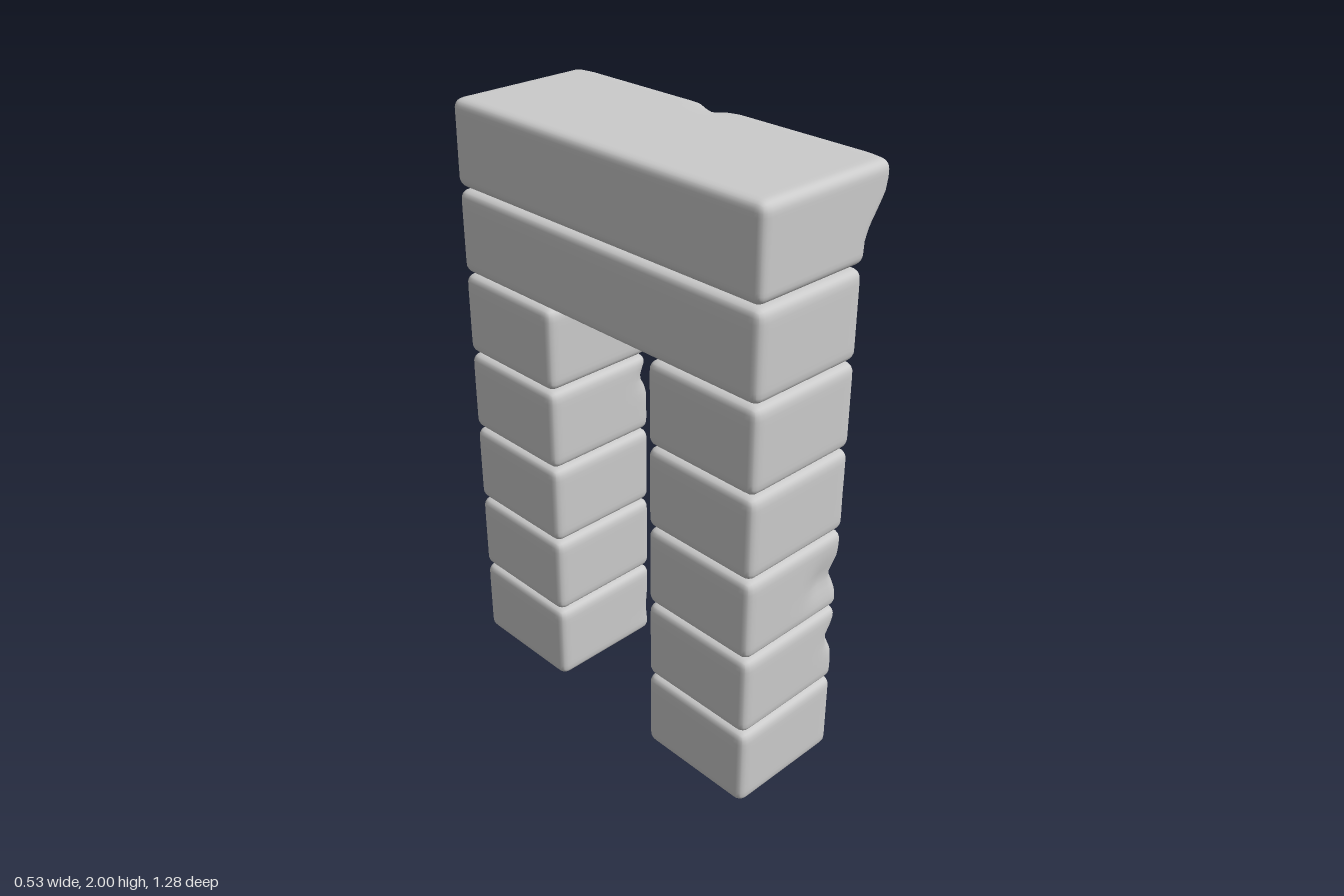
import * as THREE from 'three';
import { mergeVertices } from 'three/addons/utils/BufferGeometryUtils.js';

const PITCH = 0.286, HEIGHT = 0.281;
const LEFT = -0.265, RIGHT = 0.16, END = 0.642, INNER = 0.215;

// Chips worn into the stone: position, radius, depth
const chips = [
  [0.16, 0.5, 0.5, 0.08, 0.022],
  [0.17, 0.46, 0.65, 0.06, 0.045],
  [0.09, 0.7, 0.64, 0.09, 0.02],
  [0.16, 0.7, 0.64, 0.06, 0.025],
  [0.16, 0.72, 0.24, 0.06, 0.02],
  [0.16, 1.07, 0.48, 0.06, 0.02],
  [0.16, 0.98, 0.56, 0.06, 0.012],
  [0.16, 1.0, 0.22, 0.06, 0.025],
  [0.03, 1.13, 0.21, 0.08, 0.025],
  [0.05, 0.9, 0.21, 0.07, 0.02],
  [0.16, 1.28, -0.22, 0.06, 0.035],
  [0.16, 1.07, -0.23, 0.06, 0.025],
  [0.16, 0.92, -0.63, 0.05, 0.015],
  [0.16, 0.1, -0.28, 0.08, 0.015],
  [0.26, 2.0, -0.01, 0.06, 0.03],
];

// Rounded block with vertices gathered at its edges, an optional reshaping rule and chips
function stone(name, min, max, segments, reshape) {
  const lo = new THREE.Vector3(...min), hi = new THREE.Vector3(...max);
  const centre = lo.clone().add(hi).multiplyScalar(0.5);
  const half = hi.clone().sub(lo).multiplyScalar(0.5);
  const radius = 0.032;
  const core = half.clone().subScalar(radius);
  let geo = new THREE.BoxGeometry(2, 2, 2, ...segments);
  geo.deleteAttribute('normal');
  geo.deleteAttribute('uv');
  geo = mergeVertices(geo, 1e-5);
  const pos = geo.attributes.position;
  const p = new THREE.Vector3(), inner = new THREE.Vector3();
  for (let i = 0; i < pos.count; i++) {
    p.fromBufferAttribute(pos, i);
    for (const a of ['x', 'y', 'z']) p[a] = Math.sin(p[a] * Math.PI / 2) * half[a];
    inner.copy(p).clamp(core.clone().negate(), core);
    p.sub(inner).normalize().multiplyScalar(radius).add(inner).add(centre);
    if (reshape) reshape(p);
    for (const [x, y, z, r, depth] of chips) {
      if (y < lo.y || y > hi.y + 0.001) continue;
      const d2 = (p.x - x) ** 2 + (p.y - y) ** 2 + (p.z - z) ** 2;
      const push = depth * Math.exp(-2 * d2 / (r * r));
      if (push < 1e-4) continue;
      // Push towards the middle of the nearest stretch of stone
      const target = new THREE.Vector3(centre.x, centre.y, THREE.MathUtils.clamp(z, lo.z + 0.15, hi.z - 0.15));
      p.addScaledVector(target.sub(p).normalize(), push);
    }
    pos.setXYZ(i, p.x, p.y, p.z);
  }
  geo.computeVertexNormals();
  const mesh = new THREE.Mesh(geo, new THREE.MeshStandardMaterial({ color: 0xcccccc }));
  mesh.name = name;
  return mesh;
}

// Width of the overhanging side of the capstone at each height
const capProfile = [[1.71, 0.172], [1.79, 0.178], [1.83, 0.195], [1.87, 0.225], [1.91, 0.253], [1.95, 0.262], [2.01, 0.262]];
function capEdge(y) {
  for (let i = 1; i < capProfile.length; i++) {
    const [y0, x0] = capProfile[i - 1], [y1, x1] = capProfile[i];
    if (y <= y1) return THREE.MathUtils.mapLinear(y, y0, y1, x0, x1);
  }
  return 0.262;
}

export function createModel() {
  const group = new THREE.Group();
  group.name = 'stoneGateway';

  // Two pillars of five stacked stones
  for (const side of [1, -1]) {
    const pillar = new THREE.Group();
    pillar.name = side > 0 ? 'frontPillar' : 'backPillar';
    const z0 = side > 0 ? INNER : -END, z1 = side > 0 ? END : -INNER;
    for (let i = 0; i < 5; i++) {
      const y = i * PITCH;
      pillar.add(stone(`pillarStone${i + 1}`, [LEFT, y, z0], [RIGHT, y + HEIGHT, z1], [20, 16, 20]));
    }
    group.add(pillar);
  }

  // Lintel across both pillars
  group.add(stone('lintel', [LEFT, 5 * PITCH, -END], [RIGHT, 5 * PITCH + HEIGHT, END], [20, 16, 44]));

  // Capstone with a flared overhang, slightly drawn in at both ends
  group.add(stone('capstone', [LEFT, 6 * PITCH + 0.003, -END], [0.262, 2, END], [24, 24, 48], (p) => {
    const t = (p.x - LEFT) / (0.262 - LEFT);
    const ends = 0.012 * THREE.MathUtils.smoothstep(Math.abs(p.z), 0.55, 0.64);
    const hollow = 0.012 * Math.exp(-(((p.y - 1.84) / 0.05) ** 2)) * (1 - THREE.MathUtils.smoothstep(Math.abs(p.z), 0.45, 0.6));
    p.x = LEFT + t * (capEdge(p.y) - LEFT - ends - hollow);
  }));
  return group;
}
